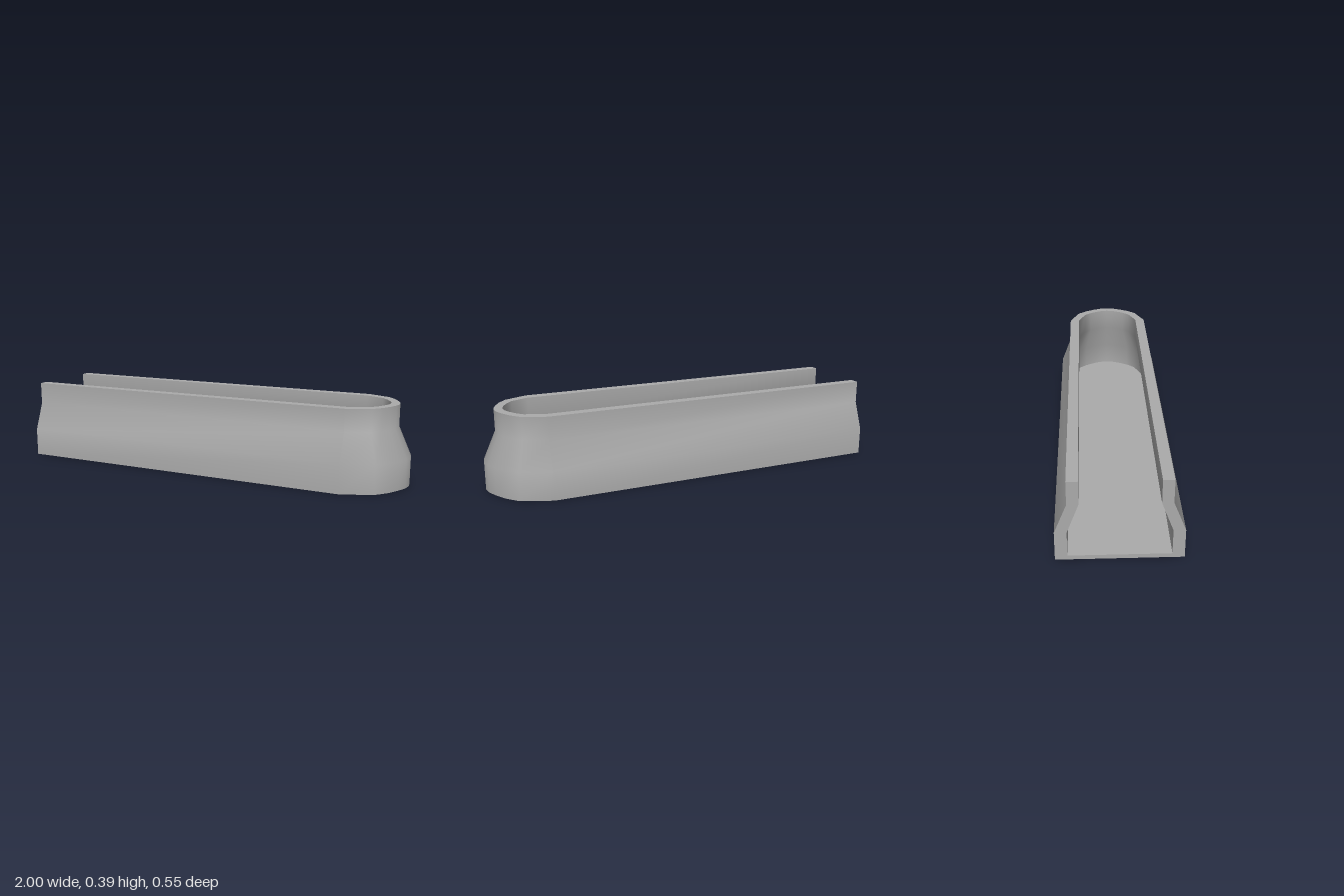
import * as THREE from 'three';

const BACK = -1, BEND = 0.735, TIP = 1, HALF = 0.275;

// Half plan of the base, from the open end to the tip of the round nose: [x, z]
const HALF_PLAN = [[BACK, HALF], [BEND, HALF], [0.885, 0.215], [0.935, 0.16], [0.97, 0.1], [0.992, 0.05], [TIP, 0]];
const PLAN = [...HALF_PLAN, ...HALF_PLAN.slice(0, -1).reverse().map(([x, z]) => [x, -z])];

// Wall levels: half width, nose tip, height
const OUTER = [[0.275, 1, 0], [0.275, 1, 0.14], [0.22, 0.937, 0.28], [0.22, 0.937, 0.392]];
const INNER = [[0.17, 0.895, 0.392], [0.17, 0.895, 0.28], [0.222, 0.95, 0.14], [0.222, 0.95, 0.02]];

// Plan fitted to one wall level
function fitPlan([half, tip]) {
  return PLAN.map(([x, z]) => [
    x > BEND ? BEND + (x - BEND) * (tip - BEND) / (TIP - BEND) : x,
    z * half / HALF,
  ]);
}

// Smooth strip through a list of levels
function loft(levels) {
  const positions = [], index = [], n = PLAN.length;
  levels.forEach((level, j) => {
    for (const [x, z] of fitPlan(level)) positions.push(x, level[2], z);
    if (j === 0) return;
    for (let i = 0; i < n - 1; i++) {
      const a = (j - 1) * n + i, b = j * n + i;
      index.push(a, a + 1, b + 1, a, b + 1, b);
    }
  });
  const geometry = new THREE.BufferGeometry();
  geometry.setAttribute('position', new THREE.Float32BufferAttribute(positions, 3));
  geometry.setIndex(index);
  geometry.computeVertexNormals();
  return geometry;
}

function flat(points) {
  return new THREE.ShapeGeometry(new THREE.Shape(points.map(([x, y]) => new THREE.Vector2(x, y))));
}

export function createModel() {
  const model = new THREE.Group();
  model.name = 'openTrough';
  const grey = new THREE.MeshStandardMaterial({ color: 0xaaaaaa });
  grey.name = 'plain grey';
  const add = (name, geometry) => {
    const mesh = new THREE.Mesh(geometry, grey);
    mesh.name = name;
    model.add(mesh);
  };

  // Walls and their flat rim
  add('outerWall', loft(OUTER));
  add('rim', loft([OUTER[3], INNER[0]]));
  add('innerWall', loft(INNER));

  // Floor, inside and underneath
  add('floor', flat(fitPlan(INNER[3])).rotateX(-Math.PI / 2).translate(0, INNER[3][2], 0));
  add('underside', flat(fitPlan(OUTER[0])).rotateX(Math.PI / 2));

  // U-shaped cut face at the open end
  const side = [...OUTER, ...INNER].map(([half, , y]) => [half, y]);
  const mirrored = side.map(([z, y]) => [-z, y]).reverse();
  add('openEndFace', flat([...side, ...mirrored]).rotateY(-Math.PI / 2).translate(BACK, 0, 0));

  return model;
}
